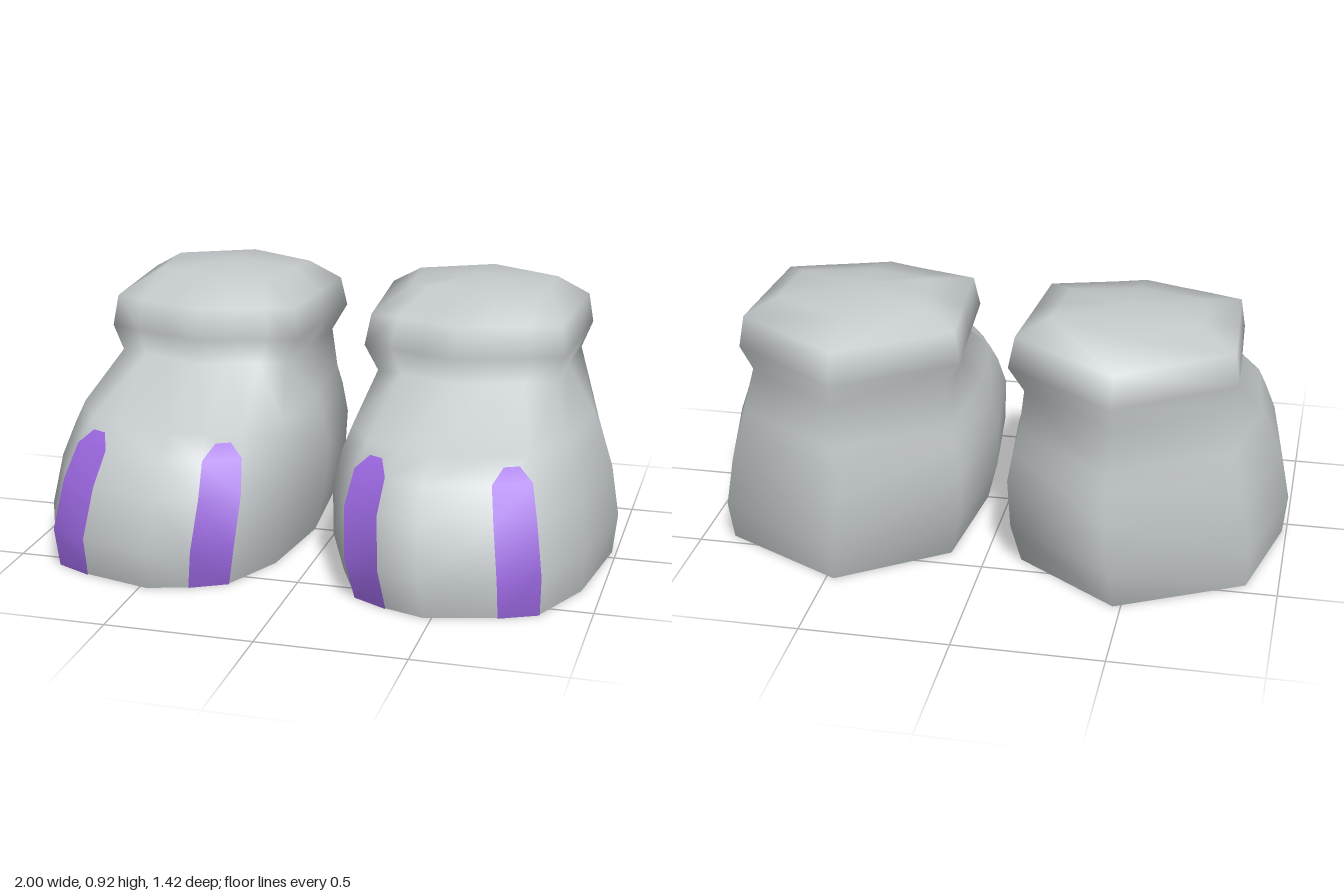
import * as THREE from 'three';

// Plan outlines [x, z] running back, outer side, toe, inner side
const footPlan = [[.455, -.71], [.9, -.48], [1, -.06], [.945, .34], [.835, .585], [.7, .65],
  [.455, .715], [.315, .67], [.185, .6], [.08, .37], [.035, 0], [.08, -.45]];
const cuffPlan = [[.455, -.71], [.835, -.45], [.823, -.2], [.81, .05], [.7, .09], [.58, .13],
  [.455, .175], [.34, .135], [.22, .1], [.12, .07], [.1, -.2], [.08, -.45]];

// Levels: y, inner x, outer x, back z, front z, blend from foot plan to cuff plan
const levels = [
  [0, .08, .985, -.67, .68, 0],
  [.14, .045, 1, -.71, .715, 0],
  [.31, .035, .97, -.70, .665, 0],
  [.42, .06, .93, -.69, .59, .06],
  [.49, .085, .9, -.68, .51, .2],
  [.635, .13, .80, -.66, .16, 1],
  [.725, .08, .835, -.705, .18, 1],
  [.83, .1, .82, -.67, .15, 1],
  [.895, .21, .71, -.52, -.09, 1],
];

function normalise(plan) {
  const axis = k => plan.map(p => p[k]);
  const lo = [Math.min(...axis(0)), Math.min(...axis(1))];
  const hi = [Math.max(...axis(0)), Math.max(...axis(1))];
  return plan.map(p => p.map((v, k) => (v - lo[k]) / (hi[k] - lo[k])));
}
const footUnit = normalise(footPlan), cuffUnit = normalise(cuffPlan);
const N = footPlan.length;

const rings = levels.map(([y, x0, x1, z0, z1, t]) => footUnit.map((f, i) => {
  const u = THREE.MathUtils.lerp(f[0], cuffUnit[i][0], t);
  const v = THREE.MathUtils.lerp(f[1], cuffUnit[i][1], t);
  return new THREE.Vector3(x0 + u * (x1 - x0), y, z0 + v * (z1 - z0));
}));

// Indexed geometry, mirrored with its winding when side is -1
function makeGeometry(points, triangles, side) {
  const g = new THREE.BufferGeometry();
  g.setAttribute('position', new THREE.Float32BufferAttribute(
    points.flatMap(p => [p.x * side, p.y, p.z]), 3));
  g.setIndex(triangles.flatMap(([a, b, c]) => side > 0 ? [a, b, c] : [a, c, b]));
  g.computeVertexNormals();
  return g;
}

// Smooth wall from sole to cuff, closed by a low dome
function upperGeometry(side) {
  const points = [...rings.flat(), new THREE.Vector3(.455, .915, -.28)];
  const tris = [];
  rings.forEach((_, j) => {
    for (let i = 0; i < N; i++) {
      const a = j * N + i, b = j * N + (i + 1) % N;
      if (j === rings.length - 1) tris.push([a, points.length - 1, b]);
      else tris.push([a, a + N, b], [b, a + N, b + N]);
    }
  });
  return makeGeometry(points, tris, side);
}

function soleGeometry(side) {
  const points = [...rings[0], new THREE.Vector3(.455, 0, 0)];
  return makeGeometry(points, rings[0].map((_, i) => [i, (i + 1) % N, N]), side);
}

// Thin strip following one column of the toe, tapering at the top
function stripeGeometry(column, side) {
  const lift = new THREE.Vector3(column < 6 ? .003 : -.003, .002, .005);
  const points = [];
  for (let j = 0; j < 4; j++) {
    points.push(rings[j][column].clone().add(lift), rings[j][column + 1].clone().add(lift));
  }
  const tip = u => {
    const low = rings[3][column].clone().lerp(rings[3][column + 1], u);
    const high = rings[4][column].clone().lerp(rings[4][column + 1], u);
    return low.lerp(high, .6).add(lift);
  };
  points.push(tip(.3), tip(.7));
  for (const p of points) p.y = Math.max(p.y, 0);
  points[0].y = points[1].y = 0;
  const tris = [];
  for (let a = 0; a < 8; a += 2) tris.push([a, a + 2, a + 1], [a + 1, a + 2, a + 3]);
  return makeGeometry(points, tris, side);
}

export function createModel() {
  const grey = new THREE.MeshStandardMaterial({ color: 0xc4c9cb });
  grey.name = 'light grey';
  const purple = new THREE.MeshStandardMaterial({ color: 0x9966dd });
  purple.name = 'purple';

  const model = new THREE.Group();
  model.name = 'boots';
  for (const side of [1, -1]) {
    const boot = new THREE.Group();
    boot.name = side > 0 ? 'leftBoot' : 'rightBoot';
    const add = (geometry, material, name) => {
      const mesh = new THREE.Mesh(geometry, material);
      mesh.name = name;
      boot.add(mesh);
    };
    add(upperGeometry(side), grey, 'upper');
    add(soleGeometry(side), grey, 'sole');
    add(stripeGeometry(4, side), purple, 'outerToeStripe');
    add(stripeGeometry(7, side), purple, 'innerToeStripe');
    model.add(boot);
  }
  return model;
}
